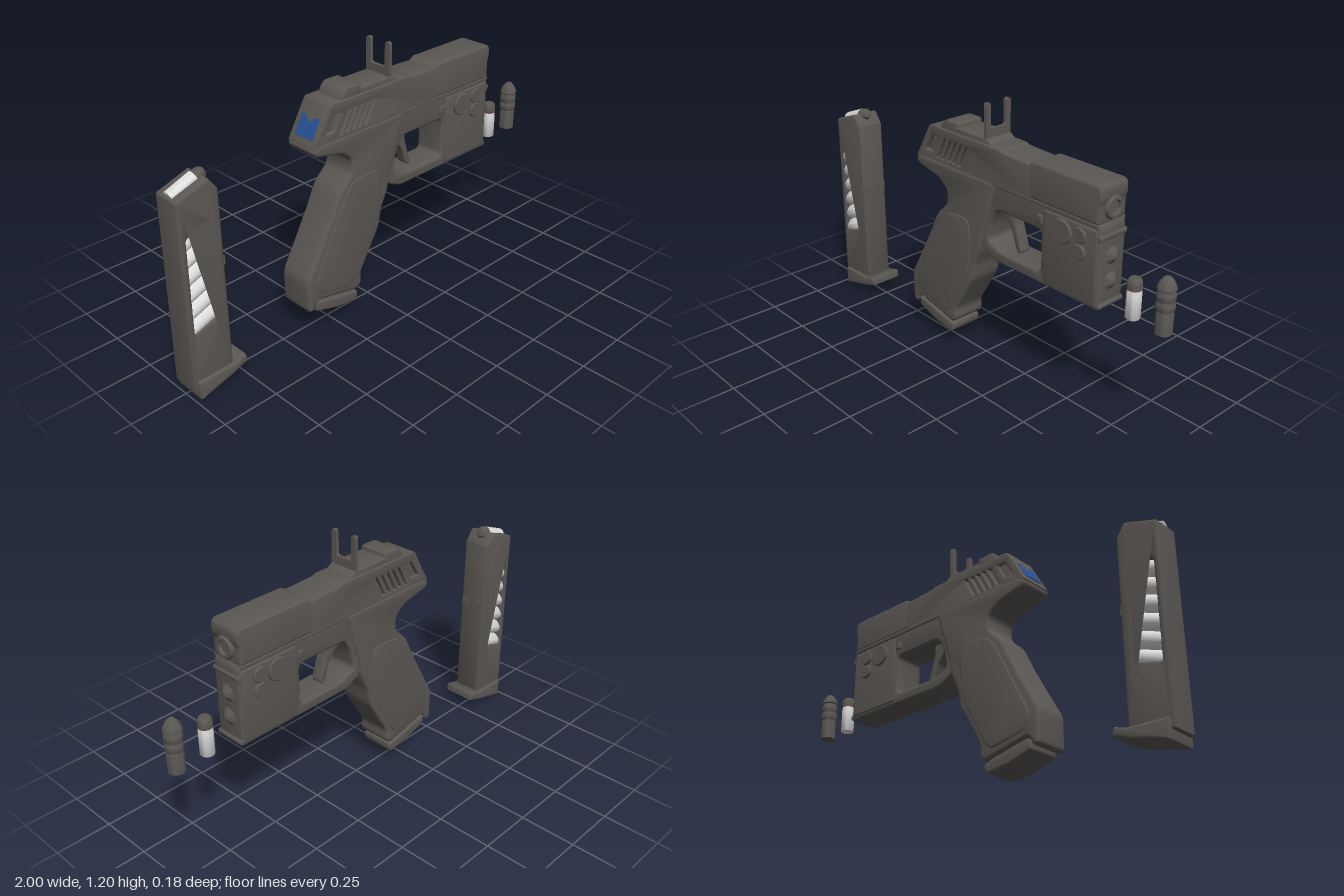
import * as THREE from 'three';
import { toCreasedNormals } from 'three/addons/utils/BufferGeometryUtils.js';

const mat = (name, color) => new THREE.MeshStandardMaterial({ name, color });
const M = {
  body: mat('dark gunmetal', 0x5b5753),
  shell: mat('white casing', 0xdedede),
  blue: mat('blue plate', 0x264f96),
  red: mat('red band', 0x9a4038),
};

// Closed outline from corner points, every corner softened by radius r
function outline(pts, r = 0.012) {
  const s = new THREE.Shape();
  const v = pts.map(p => new THREE.Vector2(p[0], p[1]));
  const n = v.length;
  const toward = (a, b) => {
    const d = a.distanceTo(b);
    return a.clone().lerp(b, Math.min(r, d * 0.45) / d);
  };
  v.forEach((p, i) => {
    const a = toward(p, v[(i + n - 1) % n]);
    const b = toward(p, v[(i + 1) % n]);
    if (i === 0) s.moveTo(a.x, a.y); else s.lineTo(a.x, a.y);
    s.quadraticCurveTo(p.x, p.y, b.x, b.y);
  });
  s.closePath();
  return s;
}

// Side profile extruded symmetrically to z = +-half with rounded edges;
// the profile runs clockwise and its holes counter-clockwise
function slab(parent, name, pts, half, bevel = 0.008, r = 0.012, holes = []) {
  const shape = outline(pts, r);
  holes.forEach(h => shape.holes.push(outline(h.pts, h.r)));
  const geo = new THREE.ExtrudeGeometry(shape, {
    depth: 2 * (half - bevel), curveSegments: 4, bevelEnabled: true,
    bevelThickness: bevel, bevelSize: bevel, bevelOffset: -bevel, bevelSegments: 3,
  });
  geo.translate(0, 0, -(half - bevel));
  return add(parent, name, toCreasedNormals(geo, 0.6), M.body);
}

function add(parent, name, geo, material, x = 0, y = 0, z = 0) {
  const m = new THREE.Mesh(geo, material);
  m.name = name;
  m.position.set(x, y, z);
  parent.add(m);
  return m;
}

// Turned part standing on its origin along +y
const turned = (profile, seg = 24) => toCreasedNormals(
  new THREE.LatheGeometry(profile.map(p => new THREE.Vector2(p[0], p[1])), seg), 0.7);

function group(parent, name) {
  const g = new THREE.Group();
  g.name = name;
  parent.add(g);
  return g;
}

function buildSlide(g) {
  // Slanted grip slots and rear window cut into the slide
  const holes = [];
  for (let i = 0; i < 5; i++) {
    const x = -0.232 + i * 0.034;
    holes.push({ r: 0.004, pts: [[x, 0.893], [x + 0.017, 0.893], [x + 0.069, 0.99], [x + 0.052, 0.99]] });
  }
  holes.push({ r: 0.008, pts: [[-0.305, 0.913], [-0.257, 0.913], [-0.218, 0.988], [-0.258, 0.988]] });
  slab(g, 'slide', [[-0.37, 0.865], [-0.275, 1.032], [0.16, 1.032], [0.175, 1.024], [0.34, 1.018],
    [0.34, 0.875]], 0.077, 0.004, 0.012, holes);
  slab(g, 'slide core', [[-0.32, 0.885], [-0.25, 1.01], [0.3, 1.005], [0.3, 0.885]], 0.06, 0.005);
  slab(g, 'muzzle block', [[0.325, 0.88], [0.325, 1.02], [0.35, 1.036], [0.685, 1.036], [0.698, 1.02],
    [0.698, 0.98], [0.69, 0.96], [0.69, 0.88]], 0.077, 0.01);

  // Muzzle ring with sunken bore
  const ring = add(g, 'muzzle', turned([[0.047, -0.02], [0.047, 0.01], [0.042, 0.017],
    [0.03, 0.017], [0.027, 0.012], [0.027, 0.004], [0, 0.004]]), M.body, 0.69, 0.94);
  ring.rotation.z = -Math.PI / 2;

  // Notched blue plate lying on the sloping back
  const plate = new THREE.ExtrudeGeometry(outline([[-0.05, -0.045], [0.05, -0.045], [0.05, 0.045],
    [0.03, 0.045], [0, 0.015], [-0.03, 0.045], [-0.05, 0.045]], 0.003), { depth: 0.006, bevelEnabled: false });
  plate.rotateY(-Math.PI / 2);
  add(g, 'rear plate', plate, M.blue, -0.327, 0.934).rotation.z = -0.517;

  // Sight base and upright fork
  slab(g, 'rear sight block', [[-0.215, 1.025], [-0.2, 1.055], [-0.18, 1.074], [-0.1, 1.074], [-0.1, 1.025]], 0.068);
  slab(g, 'sight rail', [[-0.11, 1.02], [-0.11, 1.055], [0.075, 1.055], [0.105, 1.035], [0.105, 1.02]], 0.068, 0.006);
  const fork = outline([[-0.066, 1.04], [0.066, 1.04], [0.066, 1.2], [0.041, 1.2], [0.041, 1.09],
    [-0.041, 1.09], [-0.041, 1.2], [-0.066, 1.2]], 0.011);
  const forkGeo = new THREE.ExtrudeGeometry(fork, { depth: 0.016, bevelEnabled: false, curveSegments: 5 });
  forkGeo.rotateY(Math.PI / 2);
  add(g, 'sight fork', toCreasedNormals(forkGeo, 0.6), M.body, 0.058);
}

function buildFrame(g) {
  // Front frame with trigger opening
  slab(g, 'frame', [[0.0, 0.885], [0.69, 0.885], [0.7, 0.86], [0.7, 0.53], [0.13, 0.53], [0.065, 0.56],
    [0.02, 0.6]], 0.071, 0.01, 0.02, [{ r: 0.025, pts: [[0.105, 0.7], [0.085, 0.61], [0.165, 0.58],
    [0.395, 0.58], [0.395, 0.765], [0.14, 0.765]] }]);
  slab(g, 'accessory panel', [[0.412, 0.86], [0.69, 0.86], [0.69, 0.545], [0.412, 0.545]], 0.077, 0.006);
  slab(g, 'rail strip', [[0.1, 0.885], [0.69, 0.885], [0.69, 0.868], [0.1, 0.868]], 0.078, 0.004, 0.004);
  slab(g, 'front lower lip', [[0.68, 0.56], [0.708, 0.555], [0.71, 0.535], [0.68, 0.53]], 0.07, 0.005);
  slab(g, 'front upper lip', [[0.68, 0.845], [0.708, 0.84], [0.705, 0.815], [0.68, 0.81]], 0.074, 0.005);

  // Round bosses showing on both sides
  for (const [x, y, r] of [[0.513, 0.803, 0.051], [0.605, 0.817, 0.033], [0.605, 0.748, 0.033]]) {
    const boss = add(g, 'round boss', turned([[0, -0.088], [r - 0.004, -0.088], [r, -0.084], [r, 0.084],
      [r - 0.004, 0.088], [0, 0.088]], 28), M.body, x, y);
    boss.rotation.x = Math.PI / 2;
  }
  // Pointed lamps on the front face
  for (const y of [0.745, 0.64]) {
    const lamp = add(g, 'front lamp', turned([[0.038, -0.01], [0.038, 0.004], [0.034, 0.007],
      [0.028, 0.01], [0.019, 0.018], [0.008, 0.026], [0, 0.028]]), M.body, 0.695, y);
    lamp.rotation.z = -Math.PI / 2;
  }
  // Small latch
  slab(g, 'latch', [[0.375, 0.795], [0.375, 0.83], [0.405, 0.83], [0.405, 0.795]], 0.079, 0.004, 0.005);
  slab(g, 'trigger', [[0.115, 0.785], [0.2, 0.785], [0.205, 0.71], [0.243, 0.595], [0.228, 0.583],
    [0.212, 0.595], [0.185, 0.675], [0.15, 0.715], [0.118, 0.735]], 0.026, 0.006);
}

function buildGrip(g) {
  slab(g, 'grip', [[-0.34, 0.88], [-0.372, 0.86], [-0.355, 0.832], [-0.22, 0.805], [-0.165, 0.765],
    [-0.165, 0.7], [-0.235, 0.635], [-0.285, 0.53], [-0.35, 0.41], [-0.423, 0.28], [-0.42, 0.13],
    [-0.385, 0.13], [-0.37, 0.175], [-0.14, 0.125], [-0.112, 0.15], [-0.118, 0.2], [-0.005, 0.39],
    [0.008, 0.47], [0.045, 0.545], [0.06, 0.63], [0.14, 0.88]], 0.082, 0.014, 0.025);
  slab(g, 'grip panel', [[-0.19, 0.64], [-0.15, 0.67], [-0.03, 0.675], [-0.01, 0.63], [-0.01, 0.53],
    [-0.03, 0.41], [-0.145, 0.2], [-0.18, 0.165], [-0.35, 0.2], [-0.385, 0.26], [-0.32, 0.39],
    [-0.25, 0.53]], 0.086, 0.006, 0.03);
  slab(g, 'grip foot', [[-0.375, 0.165], [-0.137, 0.115], [-0.137, 0.09], [-0.148, 0.07],
    [-0.25, 0.08], [-0.378, 0.12]], 0.08, 0.01, 0.01);
  slab(g, 'grip foot neck', [[-0.355, 0.2], [-0.15, 0.16], [-0.15, 0.1], [-0.355, 0.14]], 0.068);
}

function buildMagazine(g) {
  slab(g, 'magazine body', [[-1, 0.04], [-1, 0.875], [-0.855, 0.925], [-0.815, 0.87], [-0.808, 0.06]],
    0.064, 0.01, 0.008, [{ r: 0.012, pts: [[-0.97, 0.3], [-0.865, 0.33], [-0.865, 0.75], [-0.97, 0.715]] }]);
  slab(g, 'magazine foot', [[-0.985, 0.085], [-0.81, 0.09], [-0.755, 0.107], [-0.743, 0.07],
    [-0.82, 0.04], [-0.98, 0]], 0.08, 0.012, 0.008);
  for (const z of [-0.038, 0.038]) {
    add(g, 'magazine catch', new THREE.BoxGeometry(0.016, 0.04, 0.036), M.body, -0.813, 0.56, z);
  }

  // Two columns of tilted casings behind the side windows
  const casing = turned([[0, -0.068], [0.031, -0.068], [0.034, -0.064], [0.034, 0.064], [0.031, 0.068], [0, 0.068]], 20);
  for (const z of [-0.027, 0.027]) {
    for (let i = 0; i < 6; i++) {
      const c = add(g, 'stacked casing', casing, M.shell, -0.918, 0.333 + i * 0.075, z);
      c.rotation.z = -Math.PI / 2 + 0.36;
    }
  }
  // Cartridge on top
  const top = group(g, 'top cartridge');
  top.position.set(-0.985, 0.868, 0);
  top.rotation.z = -Math.PI / 2 + 0.36;
  add(top, 'casing', turned([[0, 0], [0.029, 0], [0.03, 0.12], [0, 0.12]], 20), M.shell);
  add(top, 'tip', turned([[0, 0.12], [0.029, 0.12], [0.027, 0.148], [0.018, 0.163], [0, 0.167]], 20), M.body);
}

function buildRounds(g) {
  const small = group(g, 'small round');
  small.position.set(0.817, 0.525, 0);
  add(small, 'casing', turned([[0, 0], [0.027, 0], [0.03, 0.004], [0.03, 0.105], [0.028, 0.123], [0, 0.123]]), M.shell);
  add(small, 'band', turned([[0, 0.123], [0.0285, 0.123], [0.0285, 0.126], [0, 0.126]]), M.red);
  add(small, 'tip', turned([[0, 0.126], [0.03, 0.126], [0.03, 0.148], [0.027, 0.163], [0.02, 0.17], [0, 0.171]]), M.body);

  const large = group(g, 'large round');
  large.position.set(0.962, 0.525, 0);
  add(large, 'casing', turned([[0, 0], [0.034, 0], [0.034, 0.085], [0.03, 0.1], [0, 0.1]]), M.body);
  add(large, 'tip', turned([[0, 0.095], [0.033, 0.095], [0.037, 0.104], [0.037, 0.128], [0.034, 0.132],
    [0.034, 0.138], [0.037, 0.142], [0.037, 0.165], [0.033, 0.172], [0.033, 0.18], [0.038, 0.184],
    [0.036, 0.195], [0.026, 0.215], [0.013, 0.23], [0, 0.234]]), M.body);
}

export function createModel() {
  const model = new THREE.Group();
  model.name = 'sidearm set';
  const gun = group(model, 'sidearm');
  buildSlide(group(gun, 'slide assembly'));
  buildFrame(group(gun, 'frame assembly'));
  buildGrip(group(gun, 'grip assembly'));
  buildMagazine(group(model, 'magazine'));
  buildRounds(group(model, 'loose rounds'));
  return model;
}
